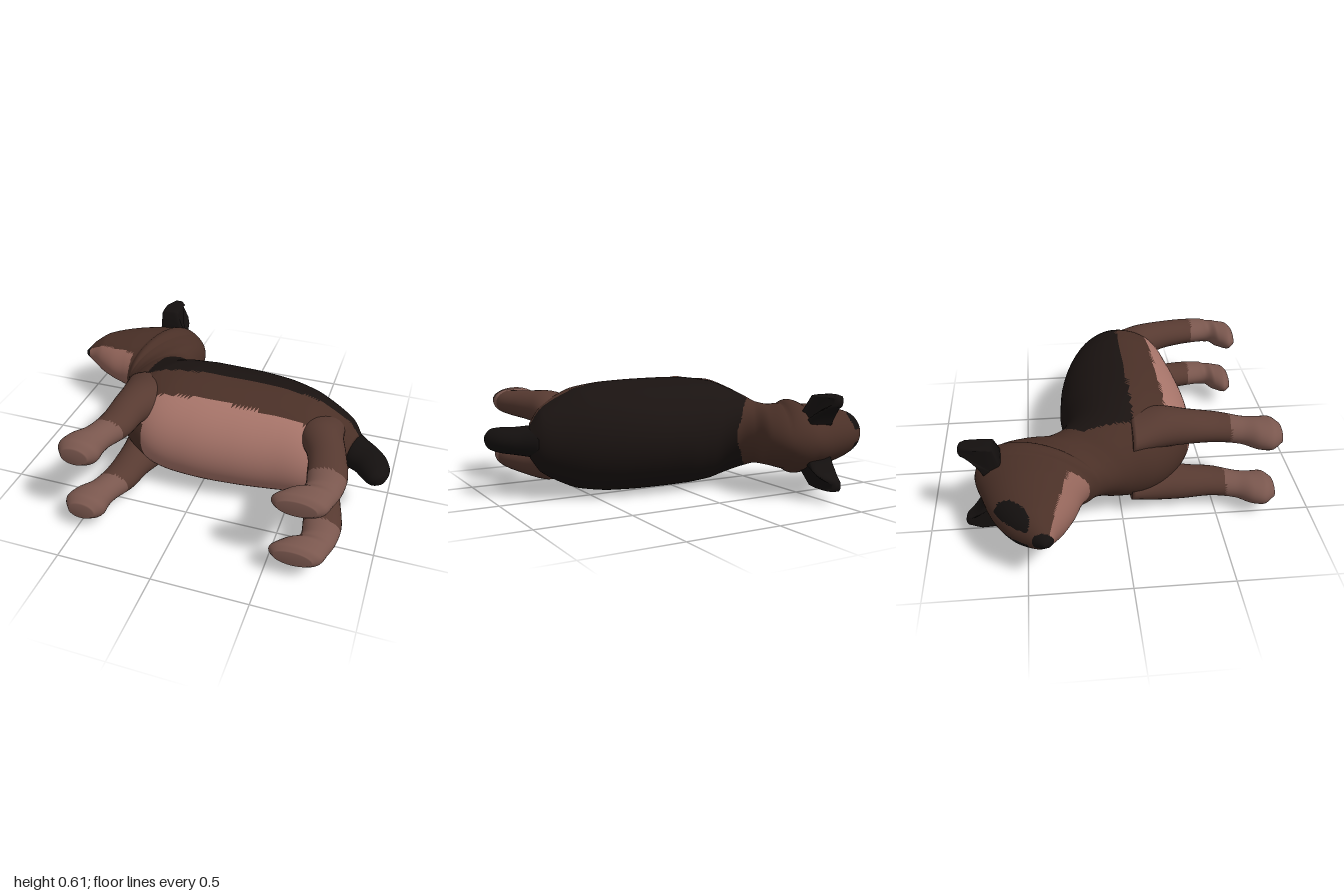
import * as THREE from 'three';
import { mergeVertices } from 'three/addons/utils/BufferGeometryUtils.js';

const COLORS = {
  saddle: 0x1a1311, coat: 0x4a3027, belly: 0xa8756a,
  leg: 0x573a31, paw: 0x7a574e, dark: 0x14100f, muzzle: 0x93655a,
};

// Smooth skin through oval sections: [topX, topY, bottomX, bottomY, halfWidth, sideOffset]
function loft(sections, steps, sides) {
  const curve = (f) => new THREE.CatmullRomCurve3(sections.map(f));
  const top = curve((s) => new THREE.Vector3(s[0], s[1], 0));
  const bottom = curve((s) => new THREE.Vector3(s[2], s[3], 0));
  const width = curve((s) => new THREE.Vector3(s[4], s[5] || 0, 0));
  const pos = [], index = [];
  for (let i = 0; i <= steps; i++) {
    const a = top.getPoint(i / steps), b = bottom.getPoint(i / steps), w = width.getPoint(i / steps);
    for (let j = 0; j < sides; j++) {
      const t = (j / sides) * Math.PI * 2;
      const p = b.clone().lerp(a, 0.5 + 0.5 * Math.cos(t));
      pos.push(p.x, p.y, w.y + w.x * Math.sin(t));
      if (i < steps) {
        const k = (j + 1) % sides, r = i * sides, n = r + sides;
        index.push(r + j, r + k, n + j, r + k, n + k, n + j);
      }
    }
  }
  // End caps
  for (const end of [0, 1]) {
    const c = top.getPoint(end).add(bottom.getPoint(end)).multiplyScalar(0.5);
    const id = pos.length / 3, r = end * steps * sides;
    pos.push(c.x, c.y, width.getPoint(end).y);
    for (let j = 0; j < sides; j++) {
      const k = (j + 1) % sides;
      if (end) index.push(id, r + j, r + k);
      else index.push(id, r + k, r + j);
    }
  }
  const geo = new THREE.BufferGeometry();
  geo.setAttribute('position', new THREE.Float32BufferAttribute(pos, 3));
  geo.setIndex(index);
  geo.computeVertexNormals();
  return geo;
}

// Splits one smooth skin into coloured meshes by a rule on each face centre
function paint(geo, name, rule) {
  const group = new THREE.Group();
  group.name = name;
  const p = geo.attributes.position, idx = geo.index.array, lists = {};
  for (let i = 0; i < idx.length; i += 3) {
    const [a, b, c] = [idx[i], idx[i + 1], idx[i + 2]];
    const x = (p.getX(a) + p.getX(b) + p.getX(c)) / 3;
    const y = (p.getY(a) + p.getY(b) + p.getY(c)) / 3;
    const z = (p.getZ(a) + p.getZ(b) + p.getZ(c)) / 3;
    (lists[rule(x, y, z)] ||= []).push(a, b, c);
  }
  for (const key in lists) {
    const g = new THREE.BufferGeometry();
    g.setAttribute('position', p);
    g.setAttribute('normal', geo.attributes.normal);
    g.setIndex(lists[key]);
    const mesh = new THREE.Mesh(g, new THREE.MeshStandardMaterial({ color: COLORS[key] }));
    mesh.name = `${name} ${key}`;
    group.add(mesh);
  }
  return group;
}

// Head, neck and trunk, from nose to rump
const BODY = [
  [-1, 0.41, -0.985, 0.375, 0.015], [-0.95, 0.49, -0.93, 0.35, 0.07],
  [-0.88, 0.58, -0.86, 0.30, 0.115], [-0.78, 0.65, -0.77, 0.25, 0.14],
  [-0.62, 0.71, -0.67, 0.21, 0.165], [-0.45, 0.75, -0.615, 0.17, 0.175],
  [-0.32, 0.69, -0.59, 0.12, 0.175], [-0.265, 0.58, -0.575, 0.07, 0.165],
  [-0.265, 0.44, -0.56, 0.02, 0.17], [-0.235, 0.345, -0.54, -0.05, 0.2],
  [-0.17, 0.295, -0.5, -0.17, 0.24], [-0.08, 0.29, -0.42, -0.28, 0.28],
  [0.03, 0.3, -0.27, -0.38, 0.3], [0.13, 0.295, -0.05, -0.41, 0.305],
  [0.25, 0.285, 0.2, -0.4, 0.303], [0.4, 0.255, 0.4, -0.375, 0.295],
  [0.55, 0.205, 0.56, -0.35, 0.27], [0.68, 0.14, 0.65, -0.3, 0.22],
  [0.78, 0.07, 0.72, -0.23, 0.165], [0.83, 0, 0.77, -0.18, 0.09],
];
const FRONT_LEG = [
  [-0.18, -0.05, -0.5, -0.05, 0.09, 0.15], [-0.22, -0.22, -0.47, -0.2, 0.1, 0.172],
  [-0.27, -0.36, -0.465, -0.32, 0.088, 0.178], [-0.29, -0.5, -0.47, -0.48, 0.073, 0.175],
  [-0.34, -0.62, -0.5, -0.6, 0.068, 0.175], [-0.35, -0.68, -0.555, -0.68, 0.074, 0.175],
  [-0.35, -0.75, -0.57, -0.74, 0.075, 0.175], [-0.39, -0.798, -0.53, -0.8, 0.045, 0.175],
];
const REAR_LEG = [
  [0.74, -0.05, 0.45, -0.1, 0.085, 0.12], [0.75, -0.2, 0.53, -0.25, 0.095, 0.15],
  [0.79, -0.35, 0.6, -0.38, 0.08, 0.157], [0.828, -0.52, 0.635, -0.53, 0.07, 0.157],
  [0.82, -0.64, 0.64, -0.65, 0.066, 0.157], [0.8, -0.71, 0.56, -0.71, 0.066, 0.157],
  [0.78, -0.77, 0.52, -0.76, 0.065, 0.157], [0.74, -0.8, 0.55, -0.798, 0.04, 0.157],
];
const TAIL = [
  [0.8, 0.05, 0.7, -0.12, 0.09], [0.86, -0.01, 0.77, -0.18, 0.08],
  [0.92, -0.06, 0.82, -0.215, 0.072], [0.97, -0.12, 0.865, -0.265, 0.068],
  [1, -0.2, 0.905, -0.3, 0.056], [0.99, -0.265, 0.95, -0.305, 0.025],
];

function bodyColor(x, y, z) {
  if (x < -0.965) return 'dark';
  // Dark patches around the eyes
  const along = (x + 0.86) * 0.7 + (y - 0.56) * 0.7, across = (y - 0.56) * 0.7 - (x + 0.86) * 0.7;
  if (Math.abs(z) > 0.035 && (along / 0.11) ** 2 + (across / 0.05) ** 2 < 1) return 'dark';
  if (x < -0.62 && y < 0.38 - (x + 0.95) * 0.3 && y > 0.18) return 'muzzle';
  if (x > -0.38 && y > -0.06 && y < 0.33 - Math.max(0, -0.25 - x)) return 'saddle';
  if (x > -0.3 && x < 0.6 && y < -0.24) return 'belly';
  return 'coat';
}

// Pointed ear standing out from the side of the skull, tapering towards its tip
function ear(side) {
  const shape = new THREE.Shape();
  shape.moveTo(0.08, 0.62);
  shape.lineTo(0.14, 0.605);
  shape.lineTo(0.24, 0.635);
  shape.quadraticCurveTo(0.255, 0.7, 0.245, 0.8);
  shape.quadraticCurveTo(0.22, 0.82, 0.19, 0.8);
  shape.quadraticCurveTo(0.16, 0.73, 0.08, 0.7);
  let geo = new THREE.ExtrudeGeometry(shape, {
    depth: 0.6, steps: 4, curveSegments: 8, bevelThickness: 0.2, bevelSize: 0.012, bevelOffset: -0.012, bevelSegments: 3,
  });
  const p = geo.attributes.position;
  for (let i = 0; i < p.count; i++) {
    const u = p.getX(i), v = p.getY(i), d = p.getZ(i) + 0.2;
    const k = THREE.MathUtils.clamp((v - 0.73) / 0.08, 0, 1);
    const out = THREE.MathUtils.clamp((u - 0.14) / 0.11, 0, 1);
    const front = -0.57 + 0.03 * k;
    const rear = THREE.MathUtils.lerp(-0.42, -0.5, Math.max(k, out * 0.7));
    const f = side > 0 ? d : 1 - d;
    p.setXYZ(i, THREE.MathUtils.lerp(rear, front, f), v, side * u);
  }
  geo.deleteAttribute('uv');
  geo.deleteAttribute('normal');
  geo = mergeVertices(geo, 1e-4);
  geo.computeVertexNormals();
  return geo;
}

export function createModel() {
  const animal = new THREE.Group();
  animal.name = 'puppy';
  animal.add(paint(loft(BODY, 190, 72), 'body', bodyColor));
  animal.add(paint(loft(TAIL, 30, 28), 'tail', () => 'dark'));
  for (const side of [1, -1]) {
    const label = side > 0 ? 'upper' : 'lower';
    const legs = { 'front leg': FRONT_LEG, 'rear leg': REAR_LEG };
    for (const name in legs) {
      const sections = legs[name].map((s) => [...s.slice(0, 5), s[5] * side]);
      animal.add(paint(loft(sections, 56, 32), `${label} ${name}`, (x, y) => (y < -0.55 ? 'paw' : 'leg')));
    }
    animal.add(paint(ear(side), `${label} ear`, () => 'dark'));
  }
  // The animal lies on its side, with its back towards -z
  animal.rotation.x = -Math.PI / 2;
  animal.position.y = 0.306;
  const model = new THREE.Group();
  model.name = 'model';
  model.add(animal);
  return model;
}
